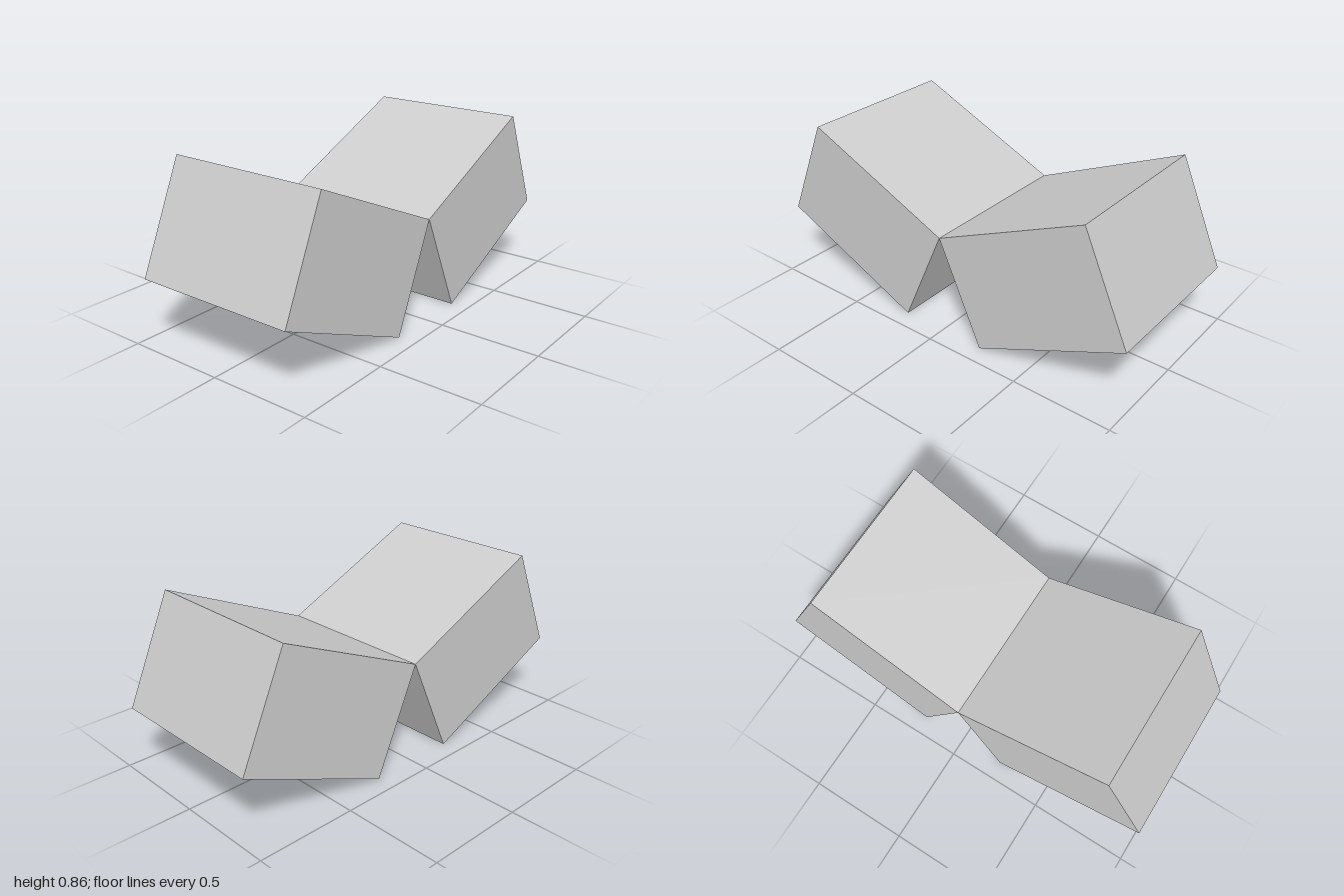
import * as THREE from 'three';

const TILT = THREE.MathUtils.degToRad(24);
const WIDTH = 0.843, HEIGHT = 0.563, DEPTH = 0.82;

export function createModel() {
  const model = new THREE.Group();
  model.name = 'hingedBlocks';

  const grey = new THREE.MeshStandardMaterial({ color: 0xcccccc });
  grey.name = 'light grey';

  // Two mirrored blocks, tilted outward and meeting along their upper inner edges
  const block = new THREE.BoxGeometry(WIDTH, HEIGHT, DEPTH);
  const reach = (WIDTH * Math.cos(TILT) + HEIGHT * Math.sin(TILT)) / 2;
  const rise = (WIDTH * Math.sin(TILT) + HEIGHT * Math.cos(TILT)) / 2;
  for (const side of [1, -1]) {
    const mesh = new THREE.Mesh(block, grey);
    mesh.name = side > 0 ? 'leftBlock' : 'rightBlock';
    mesh.position.set(side * reach, rise, 0);
    mesh.rotation.z = side * TILT;
    model.add(mesh);
  }
  return model;
}
